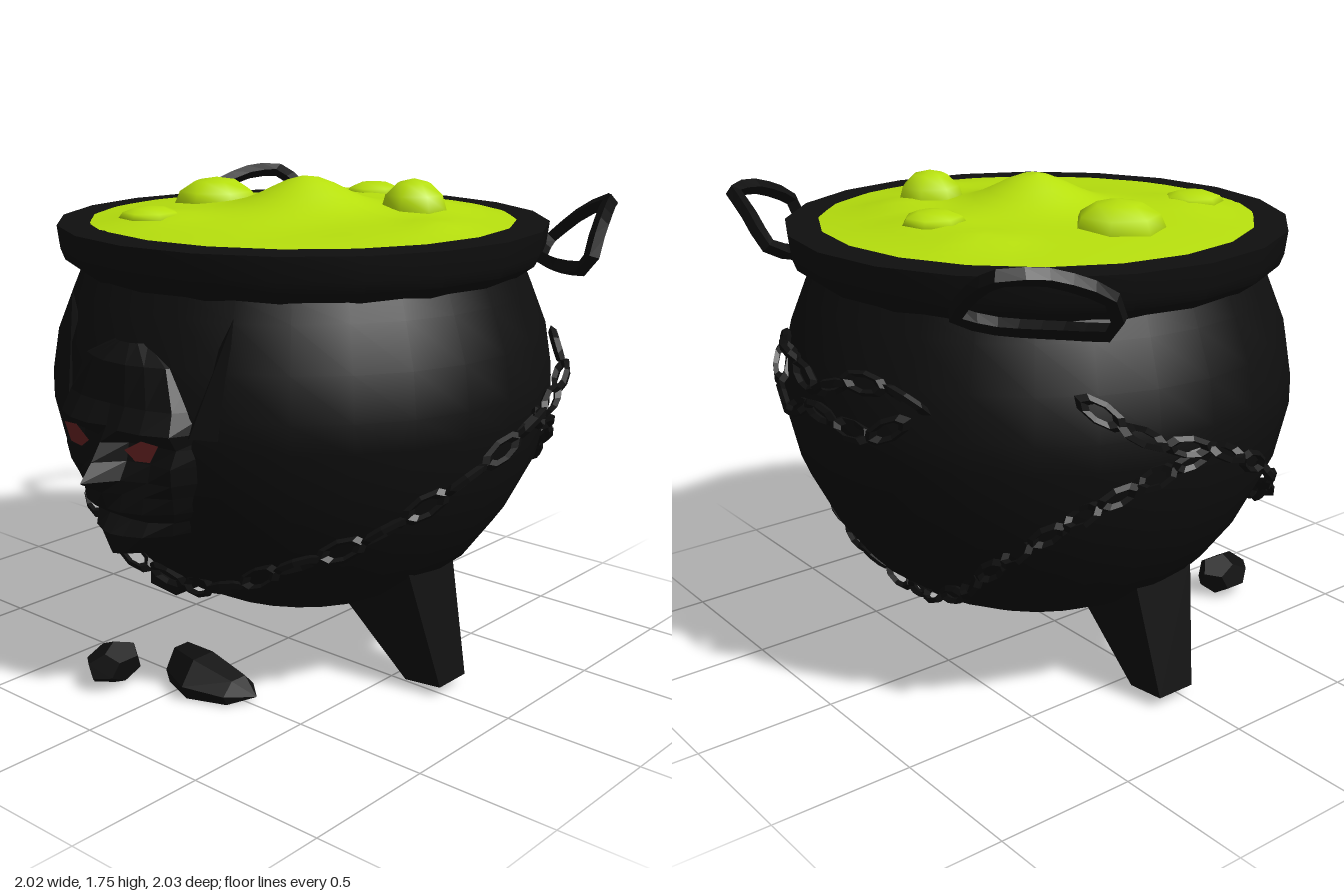
import * as THREE from 'three';
import { toCreasedNormals } from 'three/addons/utils/BufferGeometryUtils.js';

const CZ = -0.08; // the pot sits slightly behind the centre
const iron = new THREE.MeshStandardMaterial({ color: 0x0f0f0f });
iron.name = 'blackIron';
const brew = new THREE.MeshStandardMaterial({ color: 0xb7e00d });
brew.name = 'greenBrew';
const ember = new THREE.MeshStandardMaterial({ color: 0x702626 });
ember.name = 'dullRed';

// Pot profile: radius, height
const PROFILE = [[0, 0.24], [0.2, 0.25], [0.4, 0.285], [0.54, 0.36], [0.65, 0.45], [0.76, 0.6],
  [0.86, 0.8], [0.905, 1.0], [0.905, 1.1], [0.88, 1.25], [0.82, 1.4], [0.79, 1.47]];

function potRadius(y) {
  for (let i = 1; i < PROFILE.length; i++) {
    const [r0, y0] = PROFILE[i - 1], [r1, y1] = PROFILE[i];
    if (y <= y1) return r0 + (r1 - r0) * Math.max(0, (y - y0) / (y1 - y0));
  }
  return 0.79;
}

// Point on the pot: degrees from the front towards +x, height, distance off the wall
function onPot([deg, y, off]) {
  const a = THREE.MathUtils.degToRad(deg), r = potRadius(y) + off;
  return new THREE.Vector3(Math.sin(a) * r, y, Math.cos(a) * r + CZ);
}

function flat(geometry) {
  const g = geometry.index ? geometry.toNonIndexed() : geometry;
  g.computeVertexNormals();
  return g;
}

function add(parent, name, geometry, material = iron) {
  const mesh = new THREE.Mesh(geometry, material);
  mesh.name = name;
  parent.add(mesh);
  return mesh;
}

function moveVertices(geometry, rule) {
  const p = geometry.attributes.position, v = new THREE.Vector3();
  for (let i = 0; i < p.count; i++) {
    v.fromBufferAttribute(p, i);
    rule(v, i);
    p.setXYZ(i, v.x, v.y, v.z);
  }
  geometry.computeVertexNormals();
  return geometry;
}

const lathe = (points, sides) =>
  new THREE.LatheGeometry(points.map(p => new THREE.Vector2(...p)), sides);

// Row of links along a path, alternately rolled
function chain(parent, name, path, count, closed = false) {
  const group = new THREE.Group();
  group.name = name;
  const curve = new THREE.CatmullRomCurve3(path.map(onPot), closed);
  const step = curve.getLength() / count;
  const link = flat(new THREE.TorusGeometry(0.03, 0.011, 4, 8).scale(step * 0.62 / 0.041, 1, 1.3));
  for (let i = 0; i < count; i++) {
    const u = (i + 0.5) / count, p = curve.getPointAt(u), t = curve.getTangentAt(u);
    const out = new THREE.Vector3(p.x, 0, p.z - CZ);
    out.addScaledVector(t, -out.dot(t)).normalize();
    const m = add(group, 'link', link);
    m.quaternion.setFromRotationMatrix(
      new THREE.Matrix4().makeBasis(t, new THREE.Vector3().crossVectors(out, t), out));
    m.rotateX(i % 2 ? 0.9 : -0.25);
    m.position.copy(p);
  }
  parent.add(group);
}

// Face rows: height, half width, then depth from the middle outwards
const FACE = [
  [1.31, 0.10, 0.79, 0.79, 0.78, 0.76, 0.72], [1.25, 0.24, 0.84, 0.84, 0.82, 0.79, 0.70],
  [1.12, 0.31, 0.86, 0.86, 0.85, 0.82, 0.70], [1.05, 0.33, 0.88, 0.90, 0.89, 0.85, 0.68],
  [1.00, 0.33, 0.91, 0.85, 0.83, 0.82, 0.68], [0.94, 0.32, 0.95, 0.86, 0.84, 0.84, 0.68],
  [0.88, 0.31, 1.00, 0.89, 0.85, 0.83, 0.67], [0.83, 0.29, 0.91, 0.88, 0.86, 0.81, 0.66],
  [0.77, 0.27, 0.89, 0.89, 0.86, 0.79, 0.64], [0.73, 0.24, 0.83, 0.83, 0.82, 0.77, 0.62],
  [0.68, 0.22, 0.88, 0.87, 0.84, 0.76, 0.60], [0.61, 0.15, 0.87, 0.85, 0.80, 0.73, 0.58],
  [0.60, 0.10, 0.66, 0.65, 0.63, 0.60, 0.56]];
const COLUMNS = [0, 0.22, 0.5, 0.78, 1];

function buildFace(parent) {
  const face = new THREE.Group();
  face.name = 'face';
  add(face, 'mask', flat(moveVertices(new THREE.PlaneGeometry(1, 1, 8, FACE.length - 1), (v, i) => {
    const row = FACE[Math.floor(i / 9)], c = i % 9 - 4, k = Math.abs(c);
    v.set(Math.sign(c) * COLUMNS[k] * row[1], row[0], row[2 + k]);
  })));
  const outline = [[0.085, 0.985], [0.13, 0.955], [0.19, 0.96], [0.225, 1.02], [0.155, 1.025]];
  for (const s of [-1, 1]) {
    // slanted eye plate
    const pts = outline.map(([x, y]) => new THREE.Vector2(s * x, y));
    add(face, 'eye', moveVertices(new THREE.ShapeGeometry(new THREE.Shape(pts)), v => {
      v.z = 0.893 - 0.12 * Math.abs(v.x);
    }), ember);
    // pointed ear, leaning out and back along the wall
    add(face, 'ear', flat(moveVertices(new THREE.ConeGeometry(0.09, 0.4, 5, 1), v => {
      const t = (v.y + 0.2) / 0.4;
      v.set(s * (0.29 + 0.09 * t) + v.x, 1.04 + 0.38 * t, 0.74 - 0.06 * t + v.z * 0.6);
    })));
  }
  parent.add(face);
}

// Swell of the liquid: x, z, height, spread
const SWELLS = [[0.02, -0.08, 0.105, 0.13], [-0.28, -0.55, 0.03, 0.08], [-0.03, -0.55, 0.03, 0.1],
  [0.3, -0.45, 0.03, 0.1], [-0.25, 0.4, 0.025, 0.1], [0.58, -0.1, 0.02, 0.07], [0.3, 0.25, -0.015, 0.15]];

function brewHeight(x, z) {
  const r = Math.hypot(x, z - CZ) / 0.77;
  return SWELLS.reduce((y, [sx, sz, h, w]) =>
    y + h * Math.exp(-((x - sx) ** 2 + (z - sz) ** 2) / (2 * w * w)), 1.622 + 0.045 * (1 - r * r));
}

function buildBrew(parent) {
  const surface = new THREE.RingGeometry(0.001, 0.77, 32, 14).rotateX(-Math.PI / 2).translate(0, 0, CZ);
  add(parent, 'liquid', moveVertices(surface, v => { v.y = brewHeight(v.x, v.z); }), brew);
  // bubbles: x, z, radius, top height
  const bubbles = [[-0.4, -0.05, 0.16, 1.74], [0.32, -0.31, 0.12, 1.765],
    [-0.04, -0.54, 0.11, 1.71], [-0.25, 0.43, 0.11, 1.69]];
  for (const [x, z, r, top] of bubbles) {
    const base = brewHeight(x, z) - 0.015;
    const dome = new THREE.SphereGeometry(r, 7, 3, 0, Math.PI * 2, 0, Math.PI / 2);
    add(parent, 'bubble', dome.scale(1, (top - base) / r, 1).translate(x, base, z), brew);
  }
}

function buildHandle(parent, s) {
  const pts = [[0.57, 1.52, -0.83], [0.7, 1.63, -0.84], [0.81, 1.68, -0.83], [0.87, 1.67, -0.7],
    [0.93, 1.6, -0.54], [0.92, 1.49, -0.5], [0.77, 1.47, -0.57], [0.61, 1.47, -0.7]];
  const curve = new THREE.CatmullRomCurve3(pts.map(([x, y, z]) => new THREE.Vector3(s * x, y, z)),
    true, 'catmullrom', 0.3);
  add(parent, 'handle', flat(new THREE.TubeGeometry(curve, 18, 0.028, 4, true)));
}

function buildLeg(parent, s) {
  add(parent, 'leg', flat(moveVertices(new THREE.BoxGeometry(1, 1, 1), v => {
    const outer = v.x * s > 0, front = v.z > 0;
    if (v.y > 0) v.set(s * (outer ? 0.635 : 0.36), outer ? 0.49 : 0.31, front ? 0.1 : -0.16);
    else v.set(s * (outer ? 0.735 : 0.585), outer ? 0.055 : 0.04, front ? 0.03 : -0.12);
  })));
}

export function createModel() {
  const model = new THREE.Group();
  model.name = 'cauldron';

  add(model, 'pot', lathe(PROFILE, 28)).position.z = CZ;
  const rim = lathe([[0.78, 1.45], [0.85, 1.5], [0.865, 1.54], [0.875, 1.62], [0.76, 1.625], [0.76, 1.55]], 20);
  add(model, 'rim', toCreasedNormals(rim, 0.6)).position.z = CZ;

  buildBrew(model);
  buildFace(model);
  for (const s of [-1, 1]) {
    buildHandle(model, s);
    buildLeg(model, s);
    // chain slung from the side down to the front, and another to the back
    const mirror = path => path.map(([a, y, o]) => [s * a, y, o]);
    chain(model, 'frontChain', mirror([[0, 0.4, 0.03], [20, 0.46, 0.03], [38, 0.58, 0.02], [54, 0.68, 0.03],
      [74, 0.88, 0.06], [90, 1.03, 0.075], [108, 1.13, 0.06], [120, 1.25, 0.02]]), 13);
    chain(model, 'backChain', mirror([[94, 1.05, 0.06], [115, 0.9, 0.02], [135, 0.68, 0.01],
      [152, 0.47, 0.02], [180, 0.37, 0.02]]), 11);
  }
  // loose loop of chain hanging on the back
  chain(model, 'looseChain', [[153, 1.22, 0.01], [168, 1.25, 0.03], [182, 1.19, 0.03], [194, 1.25, 0.03],
    [207, 1.2, 0.01], [198, 1.09, 0.02], [181, 1.11, 0.02], [164, 1.07, 0.02]], 12, true);

  // broken lumps on the ground
  add(model, 'smallLump', flat(new THREE.DodecahedronGeometry(0.09)
    .scale(1, 0.86, 1.3).rotateZ(0.4).translate(-0.21, 0.095, 0.7)));
  add(model, 'largeLump', flat(moveVertices(new THREE.SphereGeometry(1, 7, 4).rotateZ(Math.PI / 2), v => {
    const x = v.x;
    v.set(0.08 + 0.2 * x, 0.02 + 0.12 * Math.max(0, v.y + 0.2) * (1 - 0.3 * x),
      0.54 - 0.06 * x * x + 0.11 * v.z);
  })));
  return model;
}
